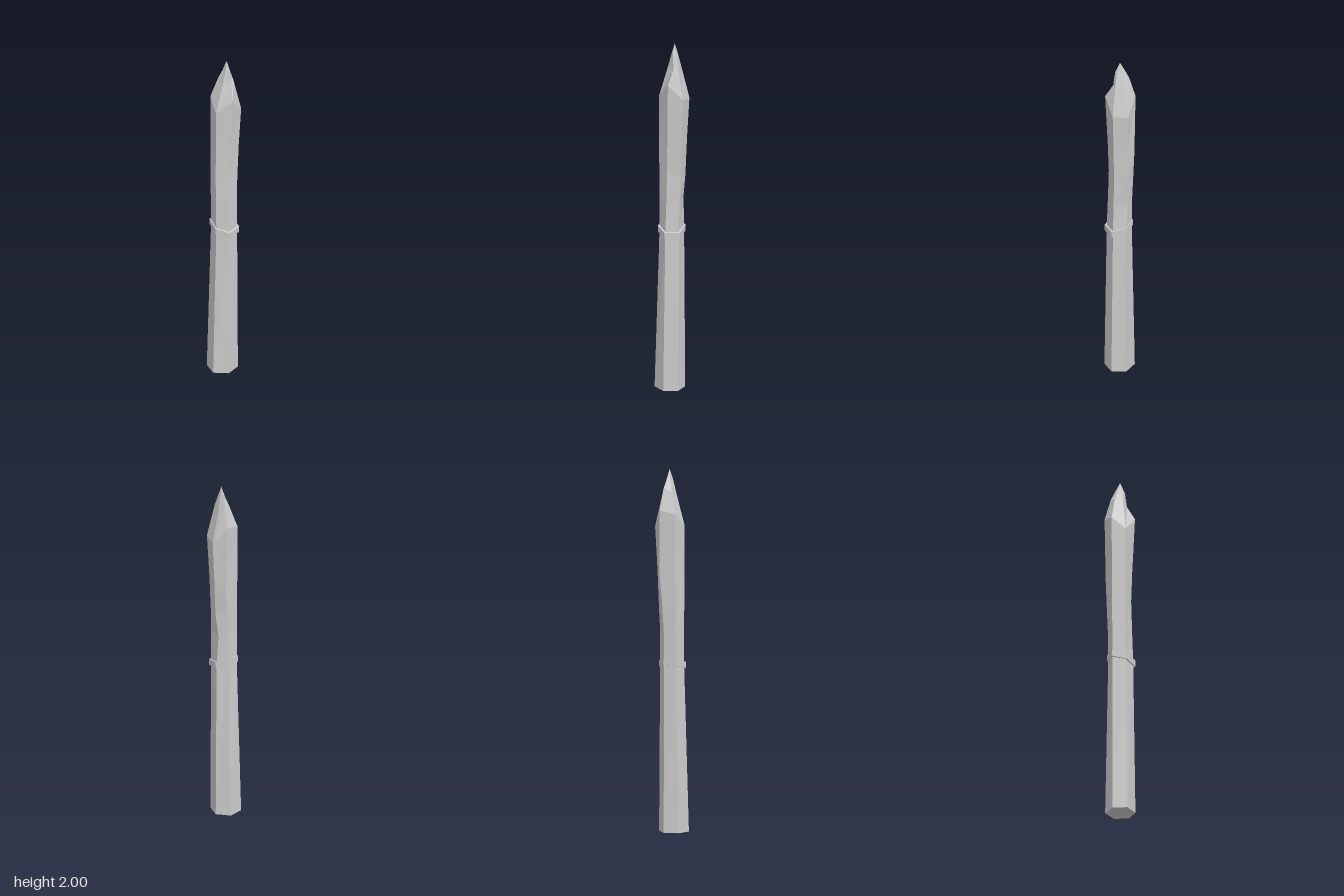
import * as THREE from 'three';

// Six-sided cross-sections from bottom to top: [x, y, z] per corner,
// running counter-clockwise from the +x corner as seen from above.
const base = [[0.07, 0, -0.015], [0.015, 0, -0.081], [-0.068, 0, -0.065], [-0.095, 0, 0.013], [-0.038, 0, 0.076], [0.044, 0, 0.063]];
const waist = [[0.064, 0.92, -0.015], [0.02, 0.92, -0.062], [-0.045, 0.92, -0.056], [-0.068, 0.92, 0.01], [-0.028, 0.92, 0.066], [0.046, 0.92, 0.055]];
const dent = [[0.059, 1.1, -0.026], [0.021, 1.1, -0.064], [-0.045, 1.1, -0.058], [-0.069, 1.1, 0.008], [-0.023, 1.1, 0.061], [0.048, 1.1, 0.052]];
const swell = [[0.071, 1.23, -0.014], [0.028, 1.25, -0.068], [-0.045, 1.25, -0.059], [-0.07, 1.25, 0.007], [-0.02, 1.28, 0.057], [0.051, 1.23, 0.051]];
const chip = [[0.08, 1.45, -0.015], [0.044, 1.41, -0.069], [-0.045, 1.45, -0.06], [-0.07, 1.45, 0.008], [-0.017, 1.46, 0.064], [0.058, 1.45, 0.055]];
const shoulder = [[0.093, 1.68, -0.017], [0.04, 1.78, -0.077], [-0.045, 1.76, -0.062], [-0.071, 1.69, 0.01], [-0.012, 1.78, 0.081], [0.068, 1.69, 0.064]];
const carved = [[0.047, 1.87, -0.012], [0.03, 1.9, -0.044], [-0.012, 1.88, -0.035], [-0.02, 1.87, 0.012], [0.014, 1.86, 0.043], [0.036, 1.88, 0.036]];
const nearTip = [[0.031, 1.94, -0.004], [0.021, 1.95, -0.021], [0.004, 1.94, -0.014], [-0.002, 1.94, 0.012], [0.009, 1.94, 0.03], [0.022, 1.94, 0.024]];
const tip = Array(6).fill([0.015, 2, 0.004]);

// Skin a stack of equal-length rings with flat faces; fan a flat cap on the first ring if asked.
function loft(rings, capBottom) {
  const pos = [];
  const tri = (a, b, c) => pos.push(...a, ...b, ...c);
  for (let k = 0; k < rings.length - 1; k++) {
    const lo = rings[k], hi = rings[k + 1];
    for (let i = 0; i < lo.length; i++) {
      const j = (i + 1) % lo.length;
      tri(lo[i], lo[j], hi[j]);
      if (hi[i] !== hi[j]) tri(lo[i], hi[j], hi[i]);
    }
  }
  if (capBottom) {
    for (let i = 1; i < rings[0].length - 1; i++) tri(rings[0][0], rings[0][i + 1], rings[0][i]);
  }
  const geo = new THREE.BufferGeometry();
  geo.setAttribute('position', new THREE.Float32BufferAttribute(pos, 3));
  geo.computeVertexNormals();
  return geo;
}

// Hexagon around the waist, scaled outward and tilted up toward the back.
function bandRing(scale, y) {
  return waist.map(([x, , z]) => {
    const px = x * scale, pz = 0.003 + z * scale;
    return [px, y - 0.27 * pz - 0.03 * px, pz];
  });
}

export function createModel() {
  const group = new THREE.Group();
  const material = new THREE.MeshStandardMaterial({ color: 0xcccccc, flatShading: true });
  const add = (name, geo) => {
    const mesh = new THREE.Mesh(geo, material);
    mesh.name = name;
    group.add(mesh);
  };

  // Hewn shaft with a carved point
  add('shaft', loft([base, waist, dent, swell, chip, shoulder], true));
  add('carvedPoint', loft([shoulder, carved, nearTip, tip], false));

  // Slanted binding: closed ring of inner and outer walls
  const lower = 0.905, upper = 0.94;
  add('band', loft([
    bandRing(0.98, lower), bandRing(1.13, lower), bandRing(1.13, upper), bandRing(0.98, upper), bandRing(0.98, lower),
  ], false));

  return group;
}
